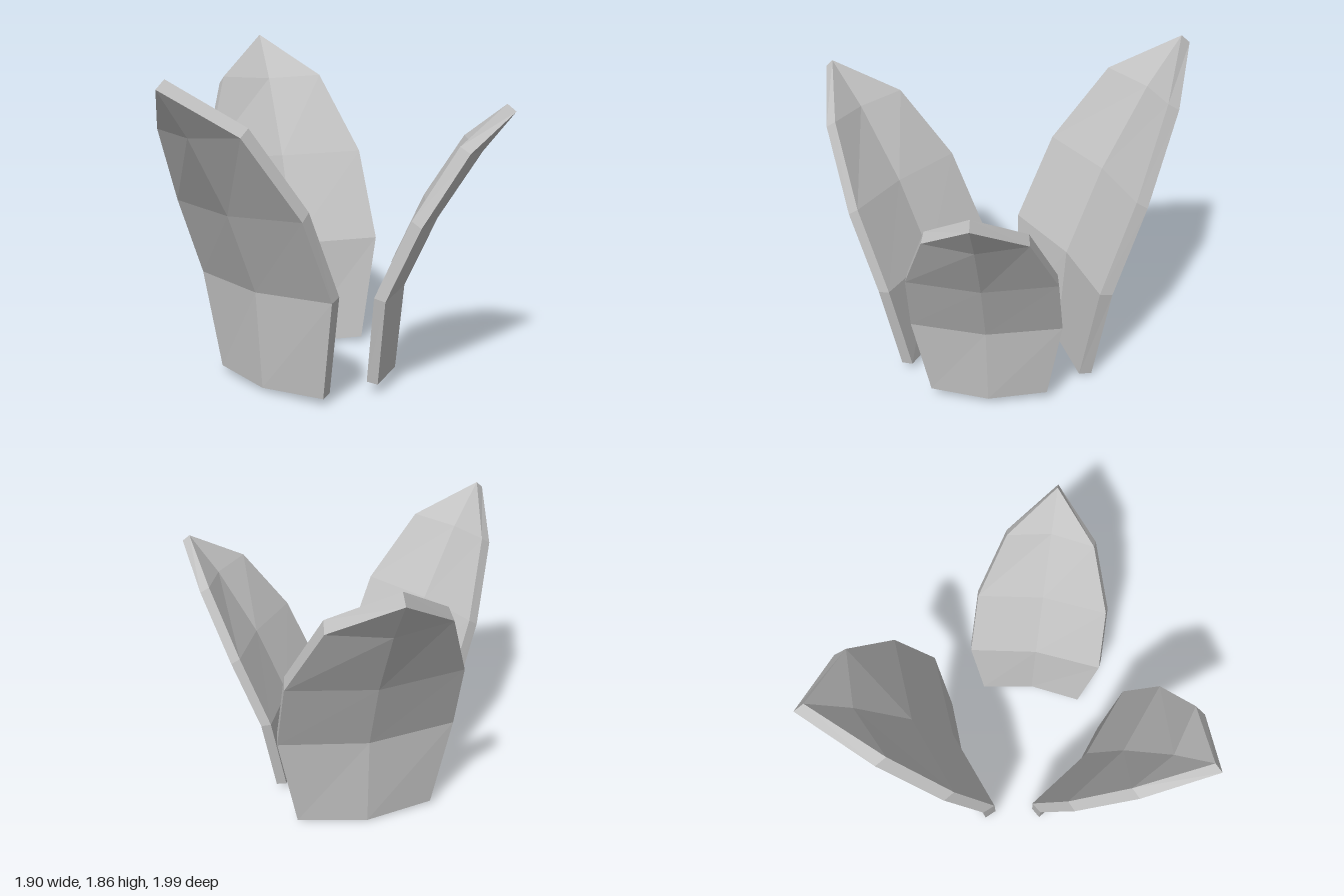
import * as THREE from 'three';

// One petal: a thick, V-folded leaf that curves outward towards -z and ends in a point.
// Rows: inner half width, outer half width, height, z of the inner rim,
// fold depth, then the thickness step (dy, dz) to the outer skin.
const rows = [
  [0.40, 0.415, 0.03, 0.07, 1, -0.01, -0.075],
  [0.51, 0.52, 0.64, 0.016, 1, -0.02, -0.075],
  [0.483, 0.495, 1.15, -0.211, 1, -0.045, -0.065],
  [0.315, 0.325, 1.61, -0.492, 1, -0.045, -0.068],
  [0, 0, 1.86, -0.776, 0, -0.05, -0.06],
];

function petalGeometry() {
  // Six points around each row: inner left, centre, right, then outer right, centre, left
  const rings = rows.map(([wi, wo, y, z, fold, dy, dz]) => {
    const cy = y - 0.02 * fold, cz = z - 0.07 * fold;
    return [
      [-wi, y, z], [0, cy, cz], [wi, y, z],
      [wo, y + dy, z + dz], [0, cy + dy, cz + dz], [-wo, y + dy, z + dz],
    ];
  });
  const pos = [];
  const quad = (a, b, c, d) => {
    pos.push(...a, ...b, ...c);
    if (c.some((v, k) => Math.abs(v - d[k]) > 1e-6)) pos.push(...a, ...c, ...d);
  };
  for (let i = 0; i < rings.length - 1; i++) {
    for (let j = 0; j < 6; j++) {
      const k = (j + 1) % 6;
      quad(rings[i][j], rings[i][k], rings[i + 1][k], rings[i + 1][j]);
    }
  }
  // Bottom cap, in two halves
  const [li, ci, ri, ro, co, lo] = rings[0];
  quad(lo, co, ci, li);
  quad(co, ro, ri, ci);

  const geometry = new THREE.BufferGeometry();
  geometry.setAttribute('position', new THREE.Float32BufferAttribute(pos, 3));
  geometry.computeVertexNormals();
  return geometry;
}

export function createModel() {
  const group = new THREE.Group();
  const grey = new THREE.MeshStandardMaterial({ color: 0xc4c4c4 });
  grey.name = 'petalGrey';
  const geometry = petalGeometry();

  // Three petals, a third of a turn apart, each a step smaller
  const petals = [
    ['backPetal', 0.045, -0.164, 0, 1],
    ['rightPetal', -0.307, 0.476, 1, 0.9],
    ['leftPetal', 0.365, 0.455, 2, 0.8],
  ];
  for (const [name, x, z, turn, scale] of petals) {
    const petal = new THREE.Mesh(geometry, grey);
    petal.name = name;
    petal.position.set(x, 0.2 * (1 - scale), z);
    petal.rotation.y = turn * Math.PI * 2 / 3;
    petal.scale.setScalar(scale);
    group.add(petal);
  }
  return group;
}
